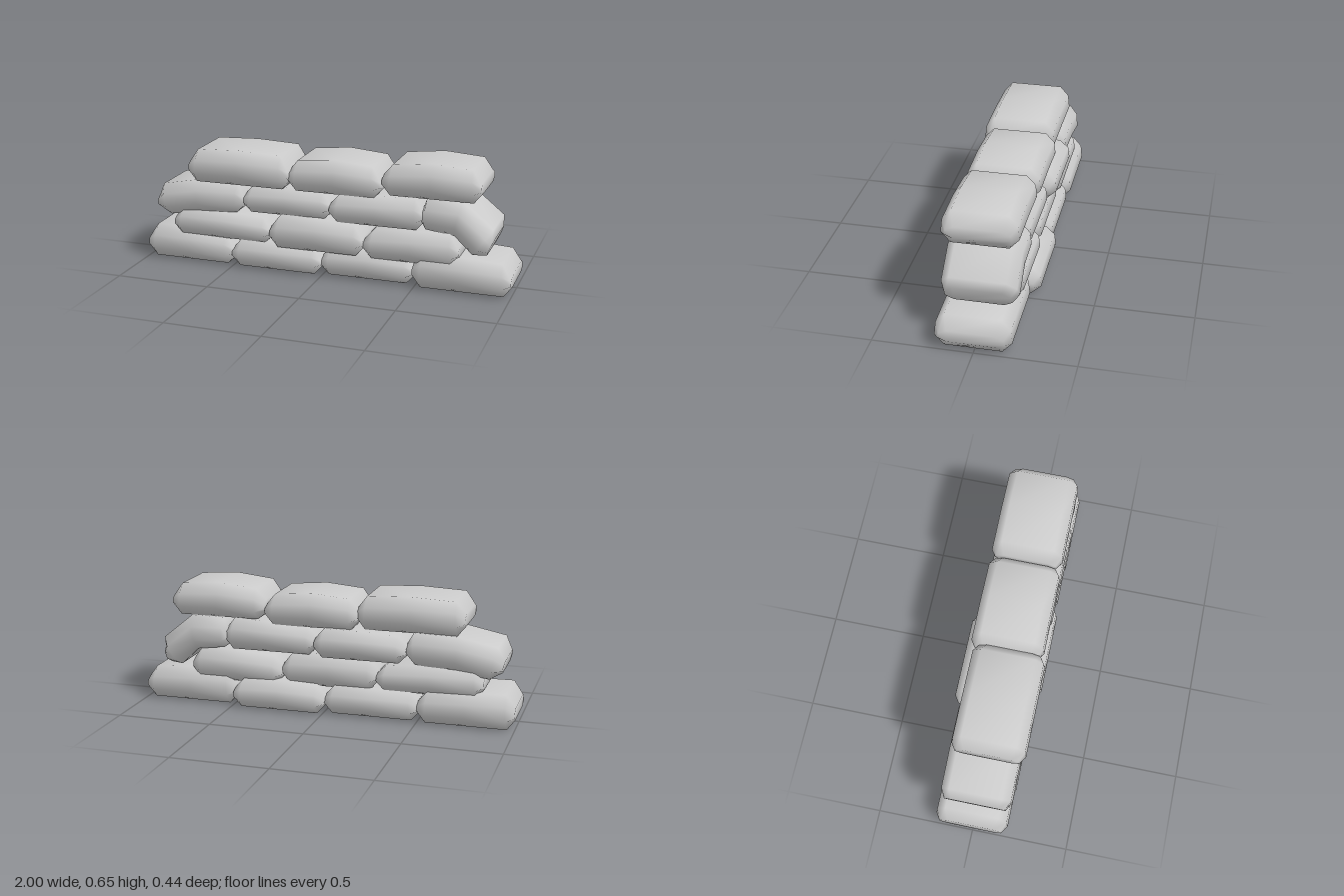
import * as THREE from 'three';

// Half outline of a bag: [share of half depth, share of height], bottom to top
const HALF = [[0.75, 0], [1, 0.3], [0.965, 0.7], [0.73, 1]];
const LOOP = [...HALF, ...HALF.map(([z, t]) => [-z, t]).reverse()];

// Skins rings along the bag; each station is [bottomX, bottomY, topX, topY]
function bagGeometry(stations, zMin, zMax) {
  const zMid = (zMin + zMax) / 2, half = (zMax - zMin) / 2;
  const n = LOOP.length, last = stations.length - 1;
  const pos = [], idx = [];
  stations.forEach(([xb, yb, xt, yt], i) => {
    const depth = half * (i === 0 || i === last ? 0.86 : 1);
    for (const [z, t] of LOOP) {
      pos.push(xb + (xt - xb) * t, yb + (yt - yb) * t, zMid + z * depth);
    }
  });
  for (let i = 0; i < last; i++) {
    for (let j = 0; j < n; j++) {
      const k = (j + 1) % n;
      const a = i * n + j, b = i * n + k, c = a + n, d = b + n;
      idx.push(a, c, b, b, c, d);
    }
  }
  // Flat ends
  const e = last * n;
  for (let k = 1; k < n - 1; k++) {
    idx.push(0, k, k + 1, e, e + k + 1, e + k);
  }
  const geo = new THREE.BufferGeometry();
  geo.setAttribute('position', new THREE.Float32BufferAttribute(pos, 3));
  geo.setIndex(idx);
  geo.computeVertexNormals();
  return geo;
}

// Stations of a level bag with pinched ends and a top given at left, middle, right
function levelBag(x0, x1, y0, [ya, ym, yb]) {
  const ha = ya - y0, hb = yb - y0, xm = (x0 + x1) / 2;
  return [
    [x0, y0 + ha * 0.28, x0, y0 + ha * 0.64],
    [x0 + 0.04, y0, x0 + 0.05, ya],
    [xm, y0, xm, ym],
    [x1 - 0.04, y0, x1 - 0.05, yb],
    [x1, y0 + hb * 0.28, x1, y0 + hb * 0.64],
  ];
}

export function createModel() {
  const group = new THREE.Group();
  group.name = 'sandbagWall';
  const material = new THREE.MeshStandardMaterial({ color: 0xcccccc });

  // Bags that sag over the ends of the course below
  const slumpedBag = [
    [-0.925, 0.285, -0.935, 0.345],
    [-0.86, 0.25, -0.9, 0.415],
    [-0.69, 0.28, -0.7, 0.455],
    [-0.48, 0.295, -0.47, 0.46],
    [-0.435, 0.34, -0.435, 0.4],
  ];
  const foldedBag = [
    [0.53, 0.345, 0.53, 0.41],
    [0.55, 0.31, 0.555, 0.47],
    [0.7, 0.29, 0.735, 0.47],
    [0.795, 0.2, 0.895, 0.34],
    [0.865, 0.2, 0.9, 0.285],
  ];

  // Each course: [stations, zMin, zMax]
  const courses = {
    bottomCourse: [
      [levelBag(-1, -0.5, 0, [0.18, 0.177, 0.165]), -0.2, 0.18],
      [levelBag(-0.505, -0.005, 0, [0.15, 0.15, 0.15]), -0.19, 0.19],
      [levelBag(-0.01, 0.49, 0, [0.15, 0.16, 0.15]), -0.22, 0.17],
      [levelBag(0.49, 1, 0, [0.185, 0.183, 0.17]), -0.18, 0.2],
    ],
    secondCourse: [
      [levelBag(-0.835, -0.28, 0.145, [0.3, 0.295, 0.28]), -0.18, 0.19],
      [levelBag(-0.28, 0.23, 0.135, [0.305, 0.31, 0.3]), -0.17, 0.213],
      [levelBag(0.23, 0.73, 0.128, [0.28, 0.295, 0.3]), -0.18, 0.2],
    ],
    thirdCourse: [
      [slumpedBag, -0.18, 0.19],
      [levelBag(-0.44, 0.045, 0.303, [0.445, 0.455, 0.455]), -0.213, 0.18],
      [levelBag(0.045, 0.545, 0.303, [0.45, 0.46, 0.47]), -0.18, 0.2],
      [foldedBag, -0.19, 0.19],
    ],
    topCourse: [
      [levelBag(-0.73, -0.17, 0.455, [0.63, 0.64, 0.63]), -0.16, 0.218],
      [levelBag(-0.18, 0.32, 0.45, [0.612, 0.63, 0.612]), -0.18, 0.2],
      [levelBag(0.325, 0.835, 0.472, [0.632, 0.655, 0.64]), -0.18, 0.198],
    ],
  };

  for (const [name, bags] of Object.entries(courses)) {
    const course = new THREE.Group();
    course.name = name;
    bags.forEach(([stations, zMin, zMax], i) => {
      const bag = new THREE.Mesh(bagGeometry(stations, zMin, zMax), material);
      bag.name = `sandbag${i + 1}`;
      course.add(bag);
    });
    group.add(course);
  }
  return group;
}
